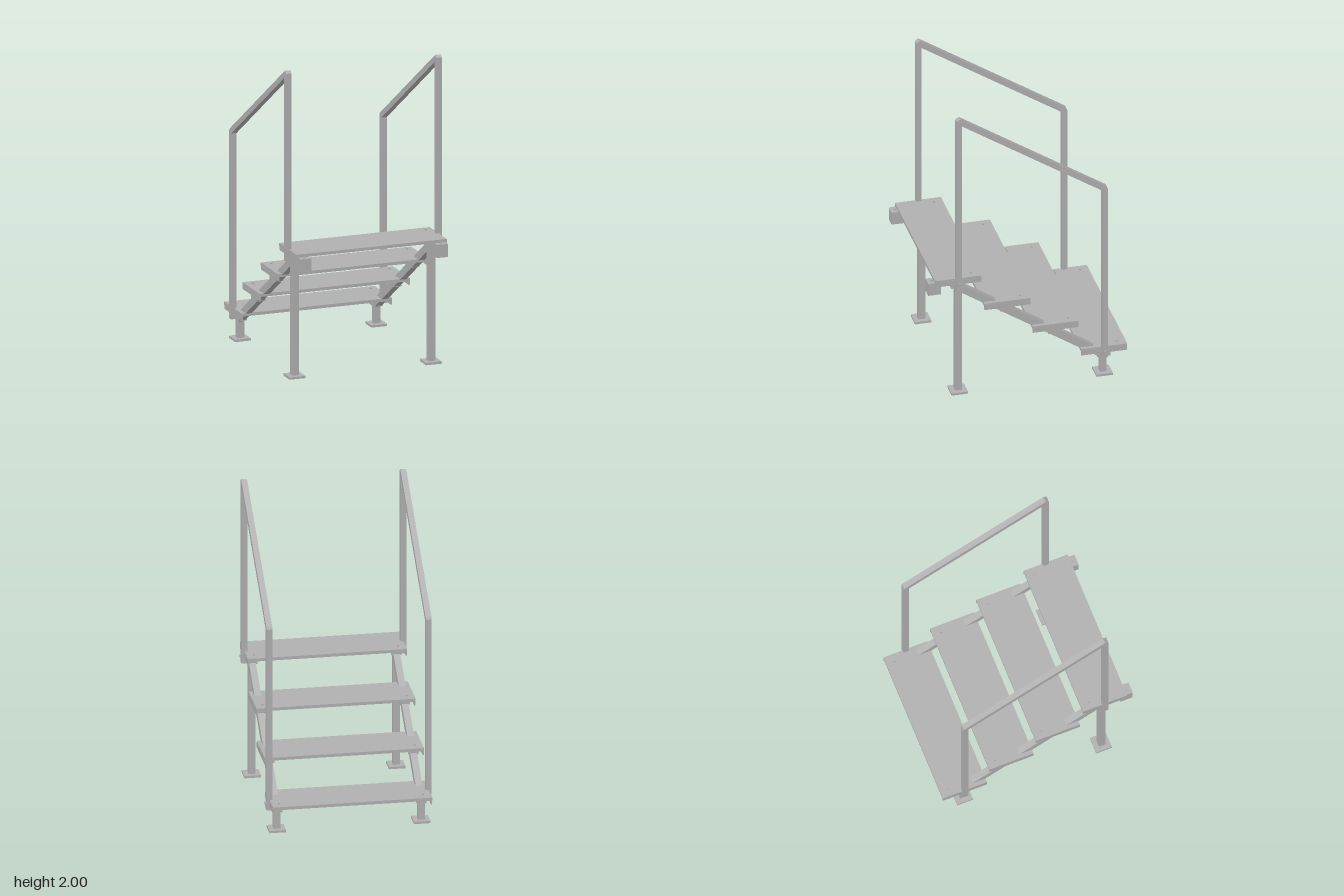
import * as THREE from 'three';

export function createModel() {
  const model = new THREE.Group();
  model.name = 'stairs';
  const metal = new THREE.MeshStandardMaterial({ color: 0xb0b0b0 });
  metal.name = 'grey metal';
  const CX = -0.005; // mid plane of the stairs

  // Box given by its limits on each axis
  function box(parent, name, x0, x1, y0, y1, z0, z1) {
    const mesh = new THREE.Mesh(new THREE.BoxGeometry(x1 - x0, y1 - y0, z1 - z0), metal);
    mesh.position.set((x0 + x1) / 2, (y0 + y1) / 2, (z0 + z1) / 2);
    mesh.name = name;
    parent.add(mesh);
  }

  // Side outline of (z, y) points, extruded across x
  function sidePlate(parent, name, x, width, points) {
    const shape = new THREE.Shape(points.map(([z, y]) => new THREE.Vector2(z, y)));
    const geo = new THREE.ExtrudeGeometry(shape, { depth: width, bevelEnabled: false });
    geo.translate(0, 0, -width / 2);
    geo.rotateY(-Math.PI / 2);
    const mesh = new THREE.Mesh(geo, metal);
    mesh.position.x = x;
    mesh.name = name;
    parent.add(mesh);
  }

  // Treads: folded plates, with end plates, support brackets and bolts
  const treads = [[0.6, 0.84], [0.282, 0.63], [-0.031, 0.42], [-0.345, 0.21]];
  treads.forEach(([front, top], i) => {
    const tread = new THREE.Group();
    tread.name = 'tread' + (i + 1);
    const back = front - 0.297;
    const x0 = CX - 0.507, x1 = CX + 0.505;
    box(tread, 'treadPlate', x0, x1, top - 0.008, top, back, front);
    box(tread, 'frontLip', x0, x1, top - 0.02, top - 0.008, front - 0.008, front);
    box(tread, 'backLip', x0, x1, top - 0.02, top - 0.008, back, back + 0.008);
    for (const s of [-1, 1]) {
      const e = CX + s * 0.502, x = CX + s * 0.458;
      box(tread, 'endPlate', e - 0.004, e + 0.004, top - 0.045, top - 0.008, back, front);
      box(tread, 'bracket', x - 0.031, x + 0.031, top - 0.08, top - 0.045, front - 0.192, front - 0.107);
      box(tread, 'bracketRail', x - 0.021, x + 0.021, top - 0.045, top - 0.008, front - 0.192, front - 0.107);
      box(tread, 'treadBolt', x - 0.006, x + 0.006, top, top + 0.008, front - 0.246, front - 0.234);
    }
    model.add(tread);
  });

  for (const s of [-1, 1]) {
    const side = new THREE.Group();
    side.name = s > 0 ? 'leftSide' : 'rightSide';
    const x = CX + s * 0.459;
    const railX = CX + s * 0.506;

    // Sloping stringer
    sidePlate(side, 'stringer', x, 0.043, [
      [0.43, 0.722], [0.43, 0.782], [-0.48, 0.177], [-0.48, 0.117],
    ]);

    // Legs on square feet
    box(side, 'frontLeg', x - 0.022, x + 0.022, 0.015, 0.76, 0.421, 0.465);
    box(side, 'backLeg', x - 0.022, x + 0.022, 0.015, 0.165, -0.515, -0.473);
    for (const z of [0.443, -0.494]) {
      box(side, 'foot', x - 0.053, x + 0.053, 0, 0.015, z - 0.053, z + 0.053);
    }

    // Handrail: two posts joined by a sloping bar
    sidePlate(side, 'handrail', railX, 0.037, [
      [0.467, 0.76], [0.467, 1.985], [0.445, 2.0], [-0.505, 1.375], [-0.512, 1.36],
      [-0.512, 0.14], [-0.476, 0.14], [-0.476, 1.351], [0.432, 1.948], [0.432, 0.76],
    ]);
    for (const [y, z] of [[0.805, 0.447], [0.18, -0.494]]) {
      box(side, 'railBolt', railX + 0.015, railX + 0.026, y - 0.01, y + 0.01, z - 0.01, z + 0.01);
    }

    // Mounting block under the front of the top tread
    box(side, 'mountingBlock', x - 0.036, x + 0.036, 0.735, 0.82, 0.56, 0.643);
    box(side, 'blockBolt', x - 0.006, x + 0.006, 0.82, 0.828, 0.606, 0.618);
    model.add(side);
  }
  return model;
}
